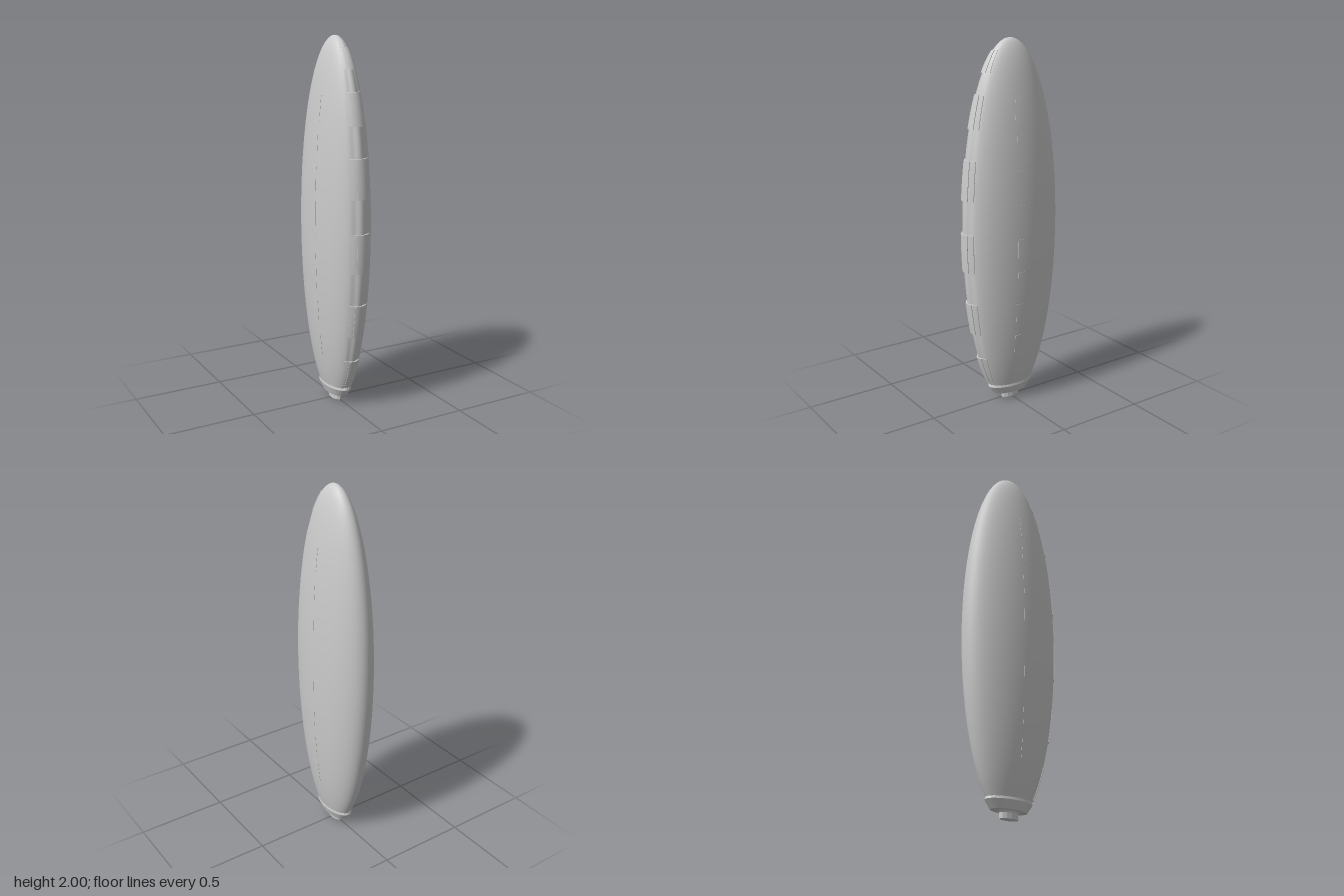
import * as THREE from 'three';
import { mergeVertices } from 'three/addons/utils/BufferGeometryUtils.js';

const RX = 0.142, RZ = 0.291, BASE = 0.09;
const material = new THREE.MeshStandardMaterial({ color: 0xcccccc });
const flatMaterial = new THREE.MeshStandardMaterial({ color: 0xcccccc, flatShading: true });

// Fullness of the hull (0..1) at a height
function fullness(y) {
  const t = (y - 1) / (y > 1 ? 1 : 1.02);
  return Math.sqrt(Math.max(0, 1 - t * t));
}

// Point on the hull; angle 0 is the front, offset pushes outward
function hullPoint(angle, y, offset = 0) {
  const f = fullness(y);
  return new THREE.Vector3(
    Math.sin(angle) * (RX * f + offset), y, Math.cos(angle) * (RZ * f + offset));
}

// Shallow flutes on both sides of a narrow front ridge
function flute(angle) {
  const d = (Math.abs(angle) - 0.24) / 0.11;
  return -0.006 * Math.exp(-d * d);
}

function makeHull() {
  const geo = new THREE.CylinderGeometry(1, 1, 1, 96, 64, true);
  const pos = geo.attributes.position, uv = geo.attributes.uv;
  for (let i = 0; i < pos.count; i++) {
    const angle = (uv.getX(i) - 0.5) * Math.PI * 2;
    // heights crowd together towards the tip
    const y = BASE + (2 - BASE) * Math.sin(uv.getY(i) * Math.PI / 2);
    const p = hullPoint(angle, y, flute(angle) * fullness(y));
    pos.setXYZ(i, p.x, p.y, p.z);
  }
  geo.deleteAttribute('uv');
  geo.deleteAttribute('normal');
  const merged = mergeVertices(geo, 1e-5);
  merged.computeVertexNormals();
  return merged;
}

// Thin curved plate lying on the hull between two angles and two heights
function makePlate(a0, a1, y0, y1, lift, sink = 0.02) {
  const geo = new THREE.BoxGeometry(1, 1, 1, 8, 4, 1);
  const pos = geo.attributes.position;
  for (let i = 0; i < pos.count; i++) {
    const angle = a0 + (a1 - a0) * (pos.getX(i) + 0.5);
    const y = y0 + (y1 - y0) * (pos.getY(i) + 0.5);
    const p = hullPoint(angle, y, pos.getZ(i) > 0 ? lift : -sink);
    pos.setXYZ(i, p.x, p.y, p.z);
  }
  geo.computeVertexNormals();
  return geo;
}

// Elliptical turned part with the hull's proportions
function makeTurned(points, segments) {
  const geo = new THREE.LatheGeometry(points.map(p => new THREE.Vector2(...p)), segments);
  geo.scale(RX / RZ, 1, 1);
  geo.computeVertexNormals();
  return geo;
}

export function createModel() {
  const model = new THREE.Group();
  const add = (name, geo, mat = material) => {
    const mesh = new THREE.Mesh(geo, mat);
    mesh.name = name;
    model.add(mesh);
  };

  add('hull', makeHull());

  // Front row of plates: bottom, top, half width
  const plates = [
    [0.11, 0.28, 0.04], [0.43, 0.61, 0.05], [0.79, 1.0, 0.056],
    [1.18, 1.39, 0.054], [1.55, 1.72, 0.044], [1.83, 1.94, 0.03],
  ];
  plates.forEach(([y0, y1, w], i) => {
    const a = Math.asin(Math.min(0.85, w / (RX * fullness((y0 + y1) / 2))));
    add('frontPlate' + (i + 1), makePlate(-a, a, y0, y1, 0.004));
    add('frontPlateRidge' + (i + 1), makePlate(-a / 2, a / 2, y0, y1, 0.008));
  });

  // Row of low tabs down each flank
  for (const side of [-1, 1]) {
    for (let i = 0; i < 8; i++) {
      const y = 0.28 + i * 0.184;
      const f = fullness(y + 0.06);
      const near = Math.acos(0.04 / (RZ * f)), far = Math.PI / 2;
      const [a0, a1] = side > 0 ? [near, far] : [-far, -near];
      add(side > 0 ? 'leftTab' : 'rightTab', makePlate(a0, a1, y, y + 0.13, 0.0015, 0.01));
    }
  }

  // Collar and stub at the foot
  add('collar', makeTurned([[0, 0.04], [0.108, 0.04], [0.14, 0.085], [0.136, 0.098], [0, 0.1]], 32), flatMaterial);
  add('stub', makeTurned([[0, 0], [0.056, 0], [0.056, 0.03], [0.066, 0.042], [0, 0.045]], 12), flatMaterial);

  return model;
}
